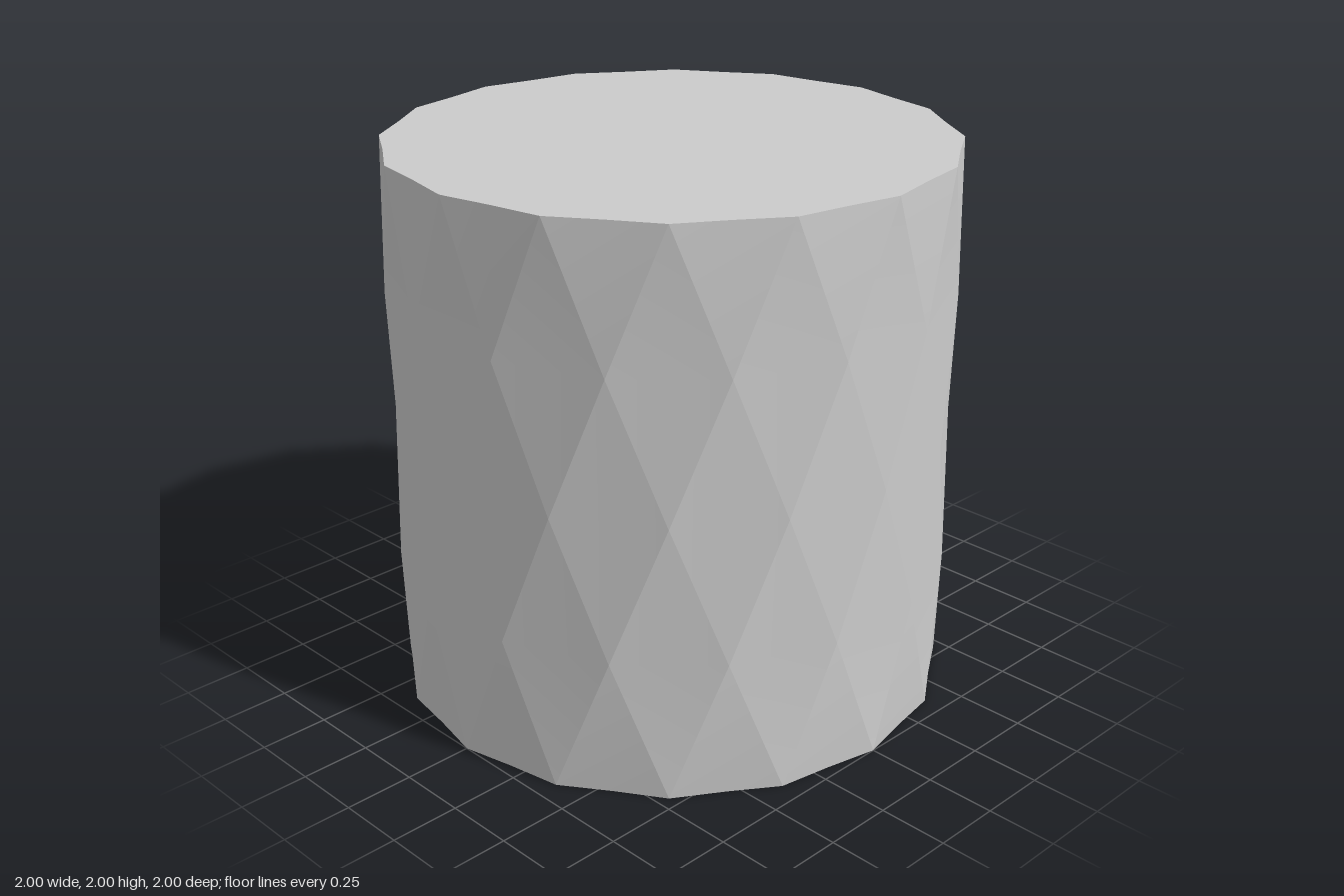
import * as THREE from 'three';
import { toCreasedNormals } from 'three/addons/utils/BufferGeometryUtils.js';

const STEPS = 32;      // alternating ridge and valley points round each ring
const ROWS = 4;        // bands between the rings
const HEIGHT = 2;
const VALLEY = 0.977;  // radius between the ridge points

// Point i of ring j; ridges and valleys alternate like a checkerboard
function point(i, j) {
  const a = ((i % STEPS) / STEPS) * Math.PI * 2;
  const r = (i + j) % 2 === 0 ? 1 : VALLEY;
  return [r * Math.sin(a), (j / ROWS) * HEIGHT, r * Math.cos(a)];
}

function fromTriangles(triangles) {
  const geometry = new THREE.BufferGeometry();
  geometry.setAttribute('position', new THREE.Float32BufferAttribute(triangles.flat(2), 3));
  geometry.computeVertexNormals();
  return geometry;
}

// Faceted wall: every cell is split along the line joining its two ridge points
function wallGeometry() {
  const triangles = [];
  for (let j = 0; j < ROWS; j++) {
    for (let i = 0; i < STEPS; i++) {
      const a = point(i, j), b = point(i + 1, j);
      const c = point(i + 1, j + 1), d = point(i, j + 1);
      if ((i + j) % 2 === 0) triangles.push([a, b, c], [a, c, d]);
      else triangles.push([a, b, d], [b, c, d]);
    }
  }
  return toCreasedNormals(fromTriangles(triangles), 0.12);
}

// Flat end as a fan round the centre
function capGeometry(j) {
  const centre = [0, (j / ROWS) * HEIGHT, 0];
  const triangles = [];
  for (let i = 0; i < STEPS; i++) {
    const p = point(i, j), q = point(i + 1, j);
    triangles.push(j > 0 ? [centre, p, q] : [centre, q, p]);
  }
  return fromTriangles(triangles);
}

export function createModel() {
  const group = new THREE.Group();
  group.name = 'facetedCylinder';
  const material = new THREE.MeshStandardMaterial({ color: 0xcccccc });
  const add = (name, geometry) => {
    const mesh = new THREE.Mesh(geometry, material);
    mesh.name = name;
    group.add(mesh);
  };
  add('diamondWall', wallGeometry());
  add('topCap', capGeometry(ROWS));
  add('bottomCap', capGeometry(0));
  return group;
}
